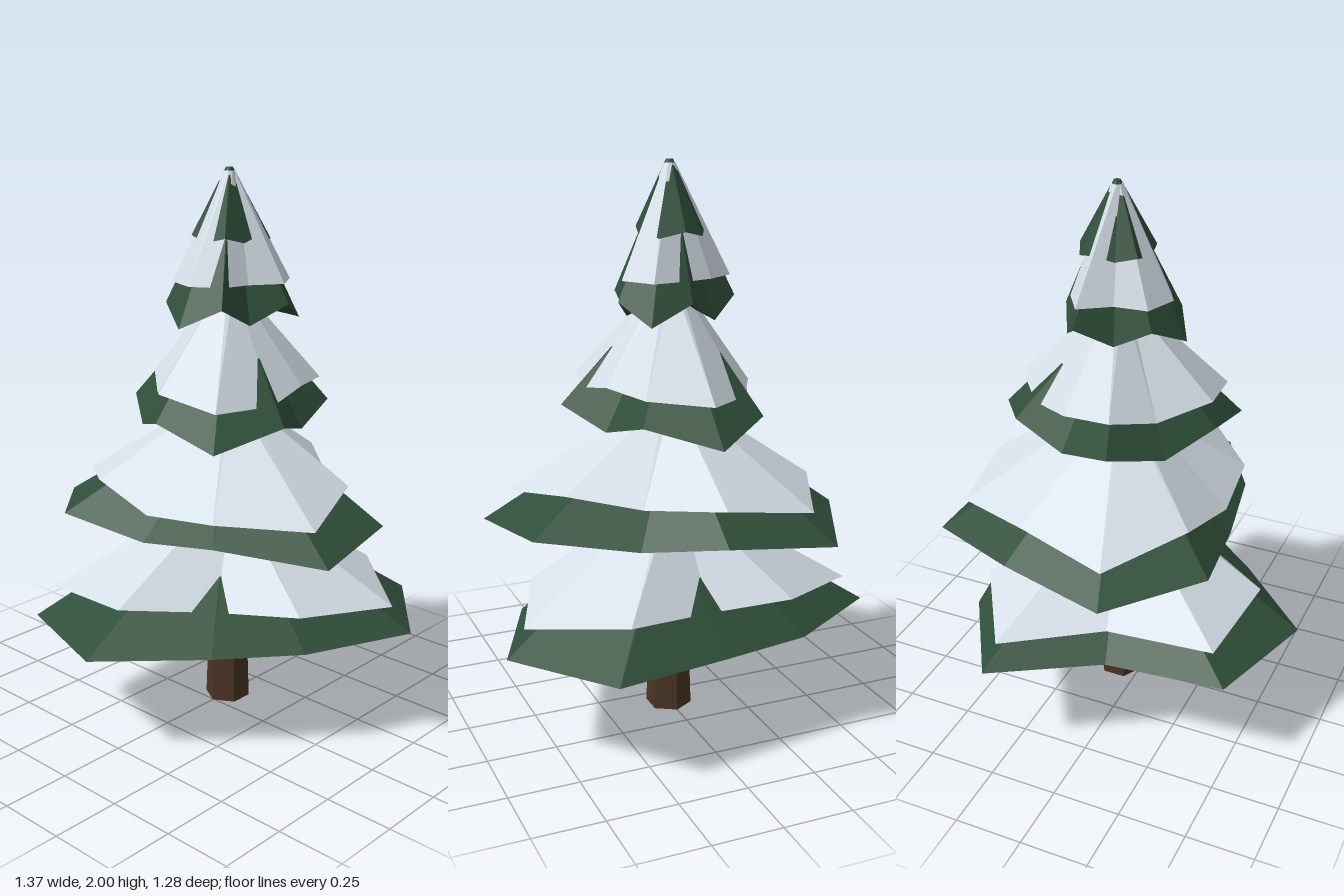
import * as THREE from 'three';

const SIDES = 10;
const AXIS_Z = -0.08;

// Faceted closed skirt: irregular lower rim (radii and heights), narrow round neck on top.
// Rim points run from the back, round by the right-hand (+x) side, to the front and on.
function skirt(radii, heights, neckR, neckY) {
  const ring = (r, y) => Array.from({ length: SIDES }, (_, i) => {
    const a = -Math.PI / 2 + (i * 2 * Math.PI) / SIDES;
    return new THREE.Vector3(r(i) * Math.cos(a), y(i), r(i) * Math.sin(a));
  });
  const rim = ring(i => radii[i], i => heights[i]);
  const neck = ring(() => neckR, () => neckY);
  const under = new THREE.Vector3(0, Math.max(...heights), 0);
  const cap = new THREE.Vector3(0, neckY, 0);
  const points = [];
  for (let i = 0; i < SIDES; i++) {
    const j = (i + 1) % SIDES;
    points.push(rim[j], rim[i], neck[i], rim[j], neck[i], neck[j]); // slope
    points.push(rim[i], rim[j], under); // underside
    points.push(neck[j], neck[i], cap); // top
  }
  const geometry = new THREE.BufferGeometry().setFromPoints(points);
  geometry.computeVertexNormals();
  return geometry;
}

// Each tier: needle rim radii, rim height on even / odd points, neck, and the snow lying on it
const TIERS = [
  {
    needles: [0.5, 0.694, 0.717, 0.54, 0.515, 0.717, 0.72, 0.49, 0.72, 0.55],
    even: 0.39, odd: 0.39, neckR: 0.03, neckY: 0.81,
    snow: [0.36, 0.545, 0.645, 0.5, 0.37, 0.565, 0.65, 0.44, 0.65, 0.5],
    snowY: [0.5, 0.53, 0.48, 0.51, 0.5, 0.53, 0.5, 0.5, 0.48, 0.52], snowTop: 0.845,
  },
  {
    needles: [0.505, 0.41, 0.598, 0.664, 0.486, 0.44, 0.605, 0.664, 0.587, 0.662],
    even: 0.78, odd: 0.745, neckR: 0.03, neckY: 1.16,
    snow: [0.49, 0.37, 0.465, 0.58, 0.48, 0.42, 0.476, 0.58, 0.5, 0.57],
    snowY: [0.905, 0.88, 0.91, 0.85, 0.865, 0.84, 0.9, 0.845, 0.89, 0.85], snowTop: 1.2,
  },
  {
    needles: [0.455, 0.372, 0.285, 0.38, 0.458, 0.37, 0.315, 0.38, 0.295, 0.372],
    even: 1.1, odd: 1.16, neckR: 0.03, neckY: 1.56,
    snow: [0.385, 0.34, 0.28, 0.305, 0.4, 0.355, 0.26, 0.3, 0.28, 0.3],
    snowY: [1.23, 1.245, 1.255, 1.22, 1.225, 1.26, 1.22, 1.255, 1.24, 1.22], snowTop: 1.595,
  },
  {
    needles: [0.2, 0.257, 0.226, 0.147, 0.225, 0.255, 0.225, 0.15, 0.226, 0.18],
    even: 1.54, odd: 1.47, neckR: 0.015, neckY: 1.97,
    snow: [0.16, 0.22, 0.21, 0.135, 0.18, 0.205, 0.2, 0.135, 0.21, 0.165],
    snowY: Array(SIDES).fill(1.61), snowTop: 1.988,
  },
  {
    needles: [0.14, 0.15, 0.11, 0.105, 0.135, 0.12, 0.133, 0.098, 0.12, 0.13],
    even: 1.77, odd: 1.75, neckR: 0.012, neckY: 2,
  },
];

export function createModel() {
  const tree = new THREE.Group();
  tree.name = 'snowyFir';

  const make = (name, color) => {
    const material = new THREE.MeshStandardMaterial({ color });
    material.name = name;
    return material;
  };
  const bark = make('bark brown', 0x4a3424);
  const green = make('needle green', 0x2f4f39);
  const white = make('snow white', 0xd9e3ec);

  const add = (name, geometry, material) => {
    const mesh = new THREE.Mesh(geometry, material);
    mesh.name = name;
    mesh.position.z = AXIS_Z;
    tree.add(mesh);
    return mesh;
  };

  // Six-sided tapering trunk
  const trunk = new THREE.CylinderGeometry(0.058, 0.084, 0.75, 6).toNonIndexed();
  trunk.computeVertexNormals();
  add('trunk', trunk, bark).position.y = 0.375;

  // Branch tiers, each with its cover of snow; the topmost is bare
  TIERS.forEach((t, k) => {
    const heights = t.needles.map((_, i) => (i % 2 ? t.odd : t.even));
    add(`branchTier${k + 1}`, skirt(t.needles, heights, t.neckR, t.neckY), green);
    if (t.snow) {
      add(`snowTier${k + 1}`, skirt(t.snow, t.snowY, t.neckR + 0.005, t.snowTop), white);
    }
  });

  return tree;
}
